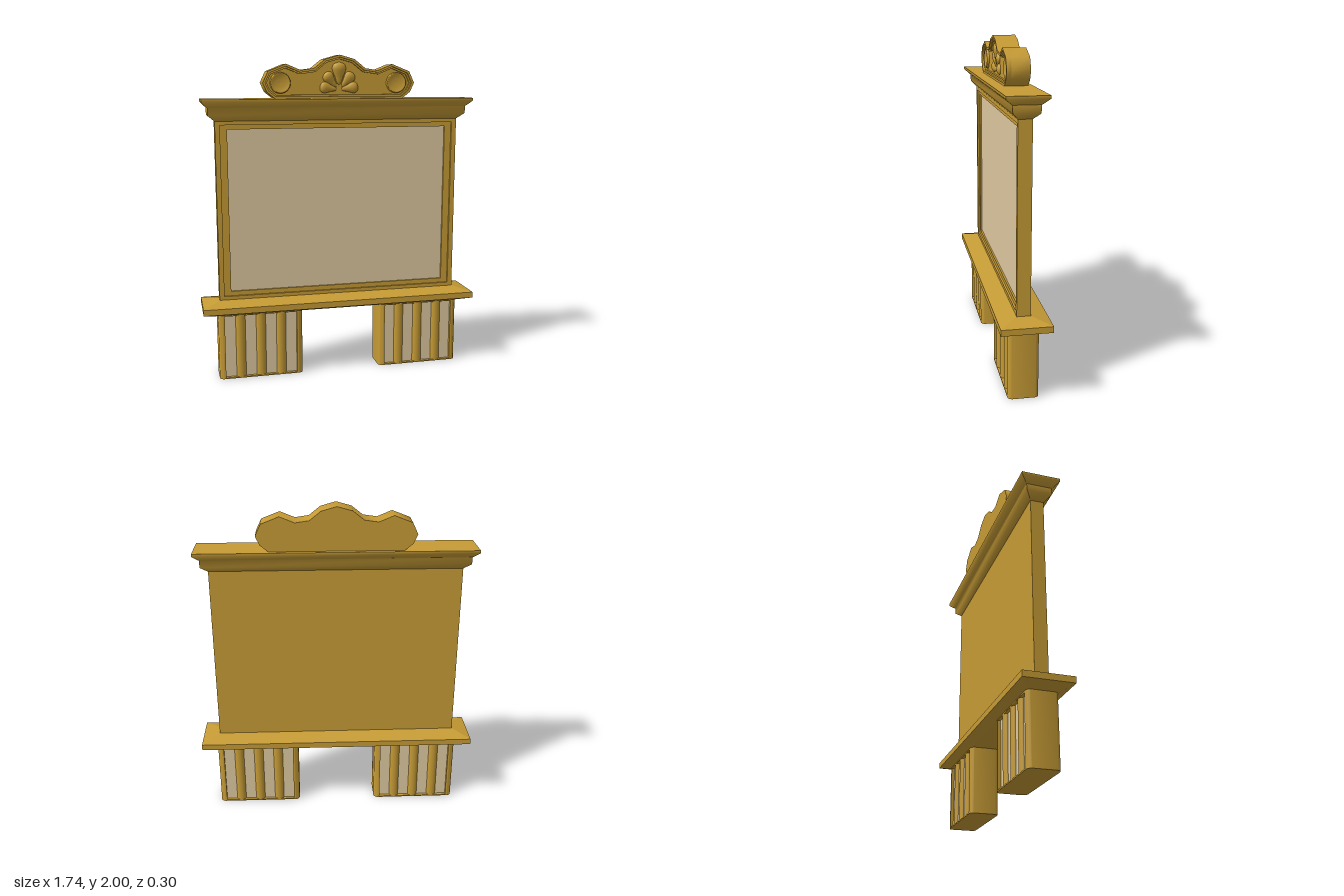
import * as THREE from 'three';
import { toCreasedNormals } from 'three/addons/utils/BufferGeometryUtils.js';

const gold = new THREE.MeshStandardMaterial({ color: 0xc69b35 });
gold.name = 'gold wood';
const cream = new THREE.MeshStandardMaterial({ color: 0xdec9a1 });
cream.name = 'cream panel';

function add(parent, name, geometry, material = gold, x = 0, y = 0, z = 0) {
  const mesh = new THREE.Mesh(geometry, material);
  mesh.name = name;
  mesh.position.set(x, y, z);
  parent.add(mesh);
  return mesh;
}

// Stacks rectangular rings [y, halfWidth, halfDepth] into a closed moulding
function moulding(rings) {
  const pos = [];
  const corner = ([y, hx, hz], i) => [
    [-hx, y, hz], [hx, y, hz], [hx, y, -hz], [-hx, y, -hz]][i % 4];
  const quad = (a, b, c, d) => pos.push(...a, ...b, ...c, ...a, ...c, ...d);
  for (let r = 0; r < rings.length - 1; r++) {
    for (let i = 0; i < 4; i++) {
      quad(corner(rings[r], i), corner(rings[r], i + 1),
        corner(rings[r + 1], i + 1), corner(rings[r + 1], i));
    }
  }
  const lo = rings[0], hi = rings[rings.length - 1];
  quad(corner(lo, 3), corner(lo, 2), corner(lo, 1), corner(lo, 0));
  quad(corner(hi, 0), corner(hi, 1), corner(hi, 2), corner(hi, 3));
  const g = new THREE.BufferGeometry();
  g.setAttribute('position', new THREE.Float32BufferAttribute(pos, 3));
  g.computeVertexNormals();
  return g;
}

const rect = (x0, y0, x1, y1) => [[x0, y0], [x1, y0], [x1, y1], [x0, y1]]
  .map(([x, y]) => new THREE.Vector2(x, y));

// Plate or frame from an outline and an optional hole
function plate(outline, depth, hole) {
  const shape = new THREE.Shape(outline);
  if (hole) shape.holes.push(new THREE.Path(hole));
  return new THREE.ExtrudeGeometry(shape, { depth, bevelEnabled: false });
}

// Insets a counter-clockwise outline by a constant distance
function inset(points, d) {
  const n = points.length;
  return points.map((p, i) => {
    const a = p.clone().sub(points[(i + n - 1) % n]).normalize();
    const b = points[(i + 1) % n].clone().sub(p).normalize();
    const m = new THREE.Vector2(-a.y - b.y, a.x + b.x).normalize();
    return p.clone().addScaledVector(m, d / (m.x * -a.y + m.y * a.x));
  });
}

// Vertical prism from a plan outline with rounded corners (radii: left, right)
function roundedPrism(hw, hd, rl, rr, height) {
  const s = new THREE.Shape();
  s.moveTo(-hw + rl, -hd);
  s.lineTo(hw - rr, -hd);
  if (rr) s.absarc(hw - rr, -hd + rr, rr, -Math.PI / 2, 0);
  s.lineTo(hw, hd - rr);
  if (rr) s.absarc(hw - rr, hd - rr, rr, 0, Math.PI / 2);
  s.lineTo(-hw + rl, hd);
  if (rl) s.absarc(-hw + rl, hd - rl, rl, Math.PI / 2, Math.PI);
  s.lineTo(-hw, -hd + rl);
  if (rl) s.absarc(-hw + rl, -hd + rl, rl, Math.PI, Math.PI * 1.5);
  const g = new THREE.ExtrudeGeometry(s, { depth: height, bevelEnabled: false, curveSegments: 6 });
  g.rotateX(-Math.PI / 2);
  return toCreasedNormals(g, 0.6);
}

function createLeg() {
  const leg = new THREE.Group();
  const half = 0.264, stile = 0.038, r = 0.028;
  // End slabs, side stiles and core
  add(leg, 'legFoot', roundedPrism(half, 0.09, r, r, 0.008));
  add(leg, 'legHead', roundedPrism(half, 0.09, r, r, 0.012), gold, 0, 0.408);
  for (const s of [-1, 1]) {
    const g = roundedPrism(stile / 2, 0.09, s < 0 ? r : 0, s > 0 ? r : 0, 0.4);
    add(leg, 'legStile', g, gold, s * (half - stile / 2), 0.008);
  }
  add(leg, 'legCore', new THREE.BoxGeometry(0.453, 0.4, 0.134), gold, 0, 0.208);
  // Cream flutes and half-round columns on front and back
  for (const s of [-1, 1]) {
    for (let i = 0; i < 4; i++) {
      add(leg, 'legFlute', new THREE.BoxGeometry(0.069, 0.4, 0.006), cream,
        (i - 1.5) * 0.128, 0.208, s * 0.068);
    }
    for (let i = -1; i <= 1; i++) {
      const column = add(leg, 'legColumn',
        new THREE.CylinderGeometry(0.031, 0.031, 0.4, 20, 1, true), gold, i * 0.128, 0.208, s * 0.067);
      column.scale.z = 0.74;
    }
  }
  return leg;
}

function createCrest() {
  const crest = new THREE.Group();
  crest.name = 'crest';
  const right = [[0.4, 1.735], [0.45, 1.775], [0.475, 1.83], [0.442, 1.9], [0.333, 1.943],
    [0.243, 1.906], [0.16, 1.918], [0.092, 1.972]];
  const left = right.map(([x, y]) => [-x, y]).reverse();
  const outline = [...right, [0, 1.998], ...left].map(([x, y]) => new THREE.Vector2(x, y));

  // Body with a stepped rim, smooth along its edge
  const smooth = g => toCreasedNormals(g, 0.9);
  add(crest, 'crestBody', smooth(plate(outline, 0.11)), gold, 0, 0, -0.09);
  add(crest, 'crestRim', smooth(plate(outline, 0.027, inset(outline, 0.014))), gold, 0, 0, 0.02);
  add(crest, 'crestInnerRim', smooth(plate(inset(outline, 0.014), 0.014, inset(outline, 0.024))),
    gold, 0, 0, 0.02);

  // Round dished medallions
  const dish = [[0.064, 0], [0.062, 0.013], [0.058, 0.016], [0.052, 0.014], [0.04, 0.01],
    [0.022, 0.007], [0, 0.006]].map(([x, y]) => new THREE.Vector2(x, y));
  for (const s of [-1, 1]) {
    const g = new THREE.LatheGeometry(dish, 28);
    g.rotateX(Math.PI / 2);
    add(crest, 'medallion', g, gold, s * 0.365, 1.83, 0.02);
  }

  // Fan of five teardrop petals
  const drop = [[0, 0], [0.12, 0.12], [0.2, 0.35], [0.33, 0.62], [0.35, 0.78], [0.25, 0.93], [0, 1]];
  const curve = new THREE.SplineCurve(drop.map(([x, y]) => new THREE.Vector2(x, y)));
  const profile = curve.getPoints(14).map(p => new THREE.Vector2(Math.max(p.x, 0), p.y));
  const petals = [[0, 0.14, 1.815, 0], [0.72, 0.112, 1.805, 0.015], [1.42, 0.11, 1.79, 0.012]];
  for (const [angle, length, y, x] of petals) {
    for (const s of angle ? [-1, 1] : [1]) {
      const m = add(crest, 'petal', new THREE.LatheGeometry(profile, 16), gold, s * x, y, 0.02);
      m.rotation.z = -s * angle;
      m.scale.set(length * 0.88, length, length * 0.5);
    }
  }
  return crest;
}

export function createModel() {
  const model = new THREE.Group();
  model.name = 'displayBoard';

  // Legs
  for (const s of [-1, 1]) {
    const leg = createLeg();
    leg.name = s > 0 ? 'leftLeg' : 'rightLeg';
    leg.position.x = s * 0.516;
    model.add(leg);
  }

  // Ledge and softly shaded cornice
  add(model, 'ledge', moulding([[0.415, 0.78, 0.09], [0.438, 0.872, 0.148],
    [0.475, 0.872, 0.148], [0.5, 0.765, 0.04]]));
  add(model, 'cornice', toCreasedNormals(moulding([[1.605, 0.765, 0.04], [1.64, 0.808, 0.075],
    [1.685, 0.808, 0.078], [1.69, 0.815, 0.085], [1.72, 0.845, 0.118], [1.736, 0.845, 0.118]]), 0.9));

  // Board with a stepped frame around a recessed panel
  const outer = rect(-0.765, 0.49, 0.765, 1.61);
  const middle = rect(-0.735, 0.522, 0.735, 1.582);
  const inner = rect(-0.692, 0.55, 0.692, 1.555);
  add(model, 'boardBack', plate(outer, 0.05), gold, 0, 0, -0.04);
  add(model, 'boardFrame', plate(outer, 0.03, middle), gold, 0, 0, 0.01);
  add(model, 'boardInnerFrame', plate(middle, 0.018, inner), gold, 0, 0, 0.01);
  add(model, 'boardPanel', plate(inner, 0.007), cream, 0, 0, 0.01);

  model.add(createCrest());
  return model;
}
